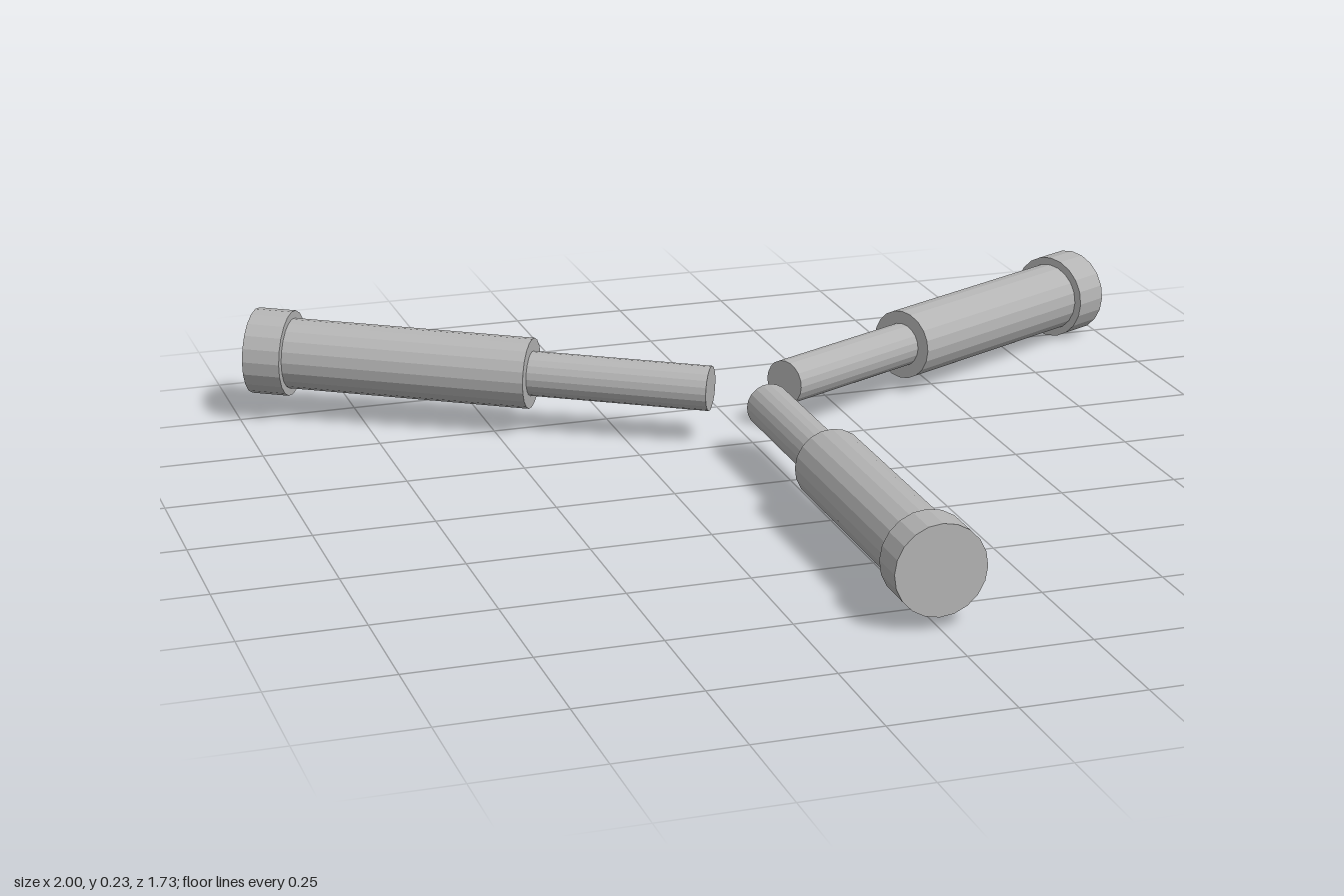
import * as THREE from 'three';

const metal = new THREE.MeshStandardMaterial({ color: 0xb4b4b4, flatShading: true });
metal.name = 'grey metal';

// Stepped sections of one arm: name, radius, inner and outer distance from the hub
const SECTIONS = [
  ['rod', 0.048, 0.095, 0.52],
  ['sleeve', 0.076, 0.485, 1.05],
  ['endCap', 0.0925, 1.018, 1.1],
];

function createArm(name) {
  const arm = new THREE.Group();
  arm.name = name;
  for (const [part, radius, inner, outer] of SECTIONS) {
    const geometry = new THREE.CylinderGeometry(radius, radius, outer - inner, 20);
    geometry.rotateX(Math.PI / 2);
    geometry.translate(0, 0, (inner + outer) / 2);
    const mesh = new THREE.Mesh(geometry, metal);
    mesh.name = part;
    arm.add(mesh);
  }
  return arm;
}

export function createModel() {
  const model = new THREE.Group();
  model.name = 'threeArmStand';

  // Three arms spread evenly around an empty hub
  ['frontArm', 'backLeftArm', 'backRightArm'].forEach((name, i) => {
    const arm = createArm(name);
    arm.rotation.y = (i * Math.PI * 2) / 3;
    model.add(arm);
  });

  // The whole set leans slightly down towards its left
  model.position.set(0, 0.12, -0.236);
  model.rotation.z = -0.026;
  return model;
}
